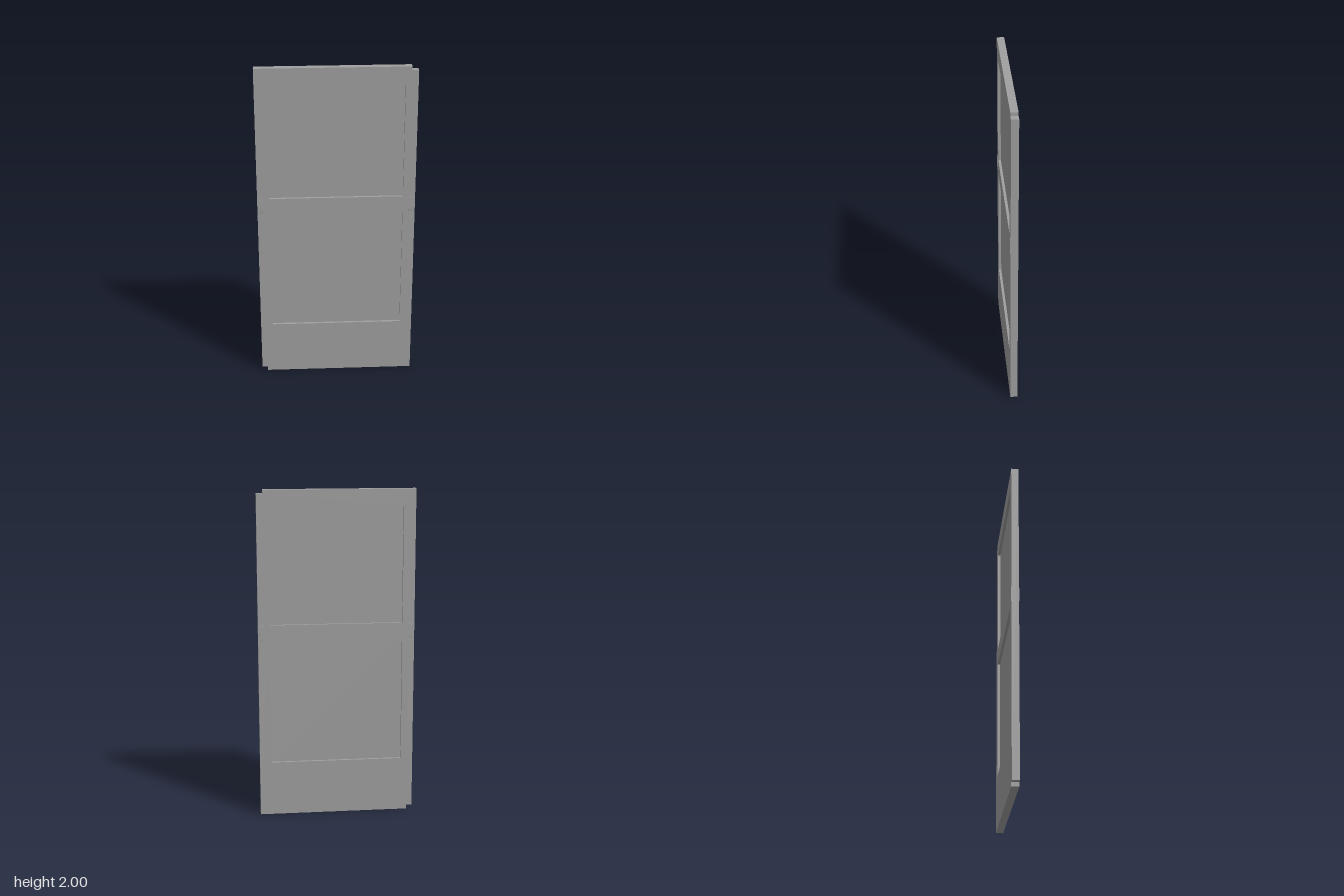
import * as THREE from 'three';

const grey = new THREE.MeshStandardMaterial({ color: 0xa0a0a0 });
grey.name = 'grey';

const HALF_W = 0.473, HALF_T = 0.022, PANEL_X = 0.4;
const panels = [
  { name: 'lowerPanel', y0: 0.335, y1: 1.09 },
  { name: 'upperPanel', y0: 1.195, y1: 1.895 },
];

function addMesh(parent, name, geometry) {
  const mesh = new THREE.Mesh(geometry, grey);
  mesh.name = name;
  parent.add(mesh);
  return mesh;
}

const points = (list) => list.map(([x, y]) => new THREE.Vector2(x, y));

// Door outline with two notched corners and two panel openings
function frameGeometry() {
  const shape = new THREE.Shape(points([
    [-0.438, 0], [HALF_W, 0], [HALF_W, 1.978], [0.435, 1.978],
    [0.435, 2], [-HALF_W, 2], [-HALF_W, 0.025], [-0.438, 0.025],
  ]));
  for (const { y0, y1 } of panels) {
    shape.holes.push(new THREE.Path(points([
      [-PANEL_X, y0], [-PANEL_X, y1], [PANEL_X, y1], [PANEL_X, y0],
    ])));
  }
  const geometry = new THREE.ExtrudeGeometry(shape, { depth: HALF_T * 2, bevelEnabled: false });
  return geometry.translate(0, 0, -HALF_T);
}

// Slim pull plate with chamfered ends, standing just proud of the face
function pullGeometry() {
  const profile = new THREE.Shape(points([
    [-0.004, -0.05], [0.0015, -0.05], [0.0025, -0.035],
    [0.0025, 0.035], [0.0015, 0.05], [-0.004, 0.05],
  ]));
  const geometry = new THREE.ExtrudeGeometry(profile, { depth: 0.026, bevelEnabled: false });
  return geometry.translate(0, 0, -0.013).rotateY(-Math.PI / 2);
}

export function createModel() {
  const door = new THREE.Group();
  door.name = 'slidingDoor';

  addMesh(door, 'frame', frameGeometry());

  // Thin panels recessed on both faces
  for (const { name, y0, y1 } of panels) {
    const panel = addMesh(door, name, new THREE.BoxGeometry(PANEL_X * 2, y1 - y0, 0.012));
    panel.position.y = (y0 + y1) / 2;
  }

  // Pull plates near both edges, front and back
  const pull = pullGeometry();
  for (const side of [-1, 1]) {
    for (const face of [-1, 1]) {
      const plate = addMesh(door, (face > 0 ? 'front' : 'back') + 'Pull' + (side > 0 ? 'Left' : 'Right'), pull);
      plate.position.set(side * 0.45, 1.15, face * HALF_T);
      if (face < 0) plate.rotation.y = Math.PI;
    }
  }
  return door;
}
